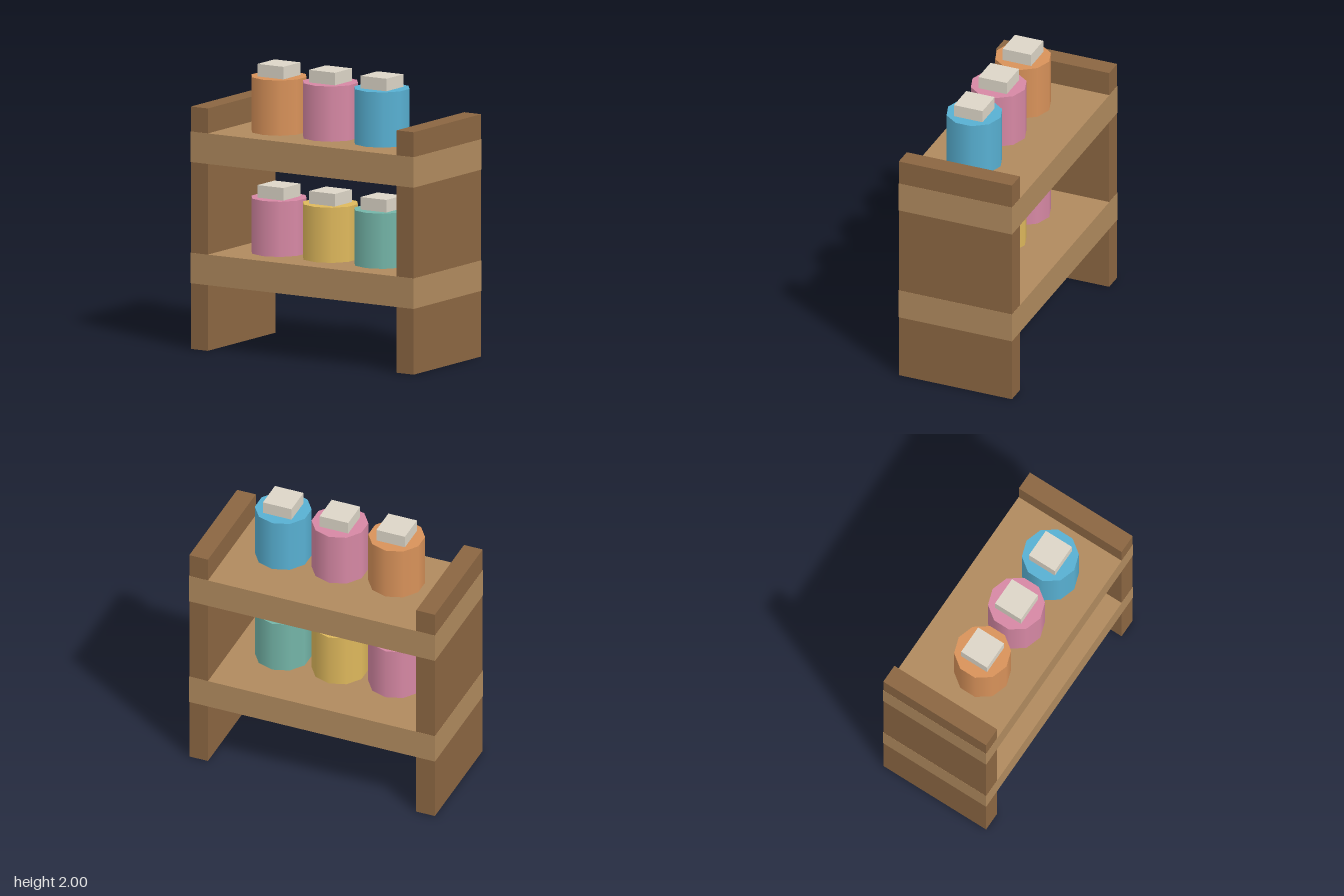
import * as THREE from 'three';

const COLORS = {
  panel: 0x8b6642, shelf: 0xb08a5e, lid: 0xdcd5c7, orange: 0xd8925a,
  pink: 0xd688a4, blue: 0x58b0d2, yellow: 0xdeb85c, teal: 0x74b5a8,
};
const materials = {};
for (const [key, color] of Object.entries(COLORS)) {
  materials[key] = new THREE.MeshStandardMaterial({ color });
}

function addMesh(parent, name, geometry, material, x, y, z) {
  const mesh = new THREE.Mesh(geometry, material);
  mesh.name = name;
  mesh.position.set(x, y, z);
  parent.add(mesh);
  return mesh;
}

export function createModel() {
  const model = new THREE.Group();
  model.name = 'shelfWithJars';

  // Upright side panels
  const panelGeo = new THREE.BoxGeometry(0.14, 1.7, 0.85);
  addMesh(model, 'leftPanel', panelGeo, materials.panel, 0.85, 0.85, 0);
  addMesh(model, 'rightPanel', panelGeo, materials.panel, -0.85, 0.85, 0);

  // Full-width shelves, a hair proud of the panels so their ends show cleanly
  const shelfH = 0.214;
  const shelfGeo = new THREE.BoxGeometry(1.842, shelfH, 0.852);

  // Ten-sided jars with square lids
  const jarH = 0.387, lidH = 0.088;
  const jarGeo = new THREE.CylinderGeometry(0.197, 0.197, jarH, 10);
  const lidGeo = new THREE.BoxGeometry(0.214, lidH, 0.214);

  const levels = [
    { name: 'lower', top: 0.675, jars: ['pink', 'yellow', 'teal'] },
    { name: 'upper', top: 1.525, jars: ['orange', 'pink', 'blue'] },
  ];
  for (const { name, top, jars } of levels) {
    addMesh(model, name + 'Shelf', shelfGeo, materials.shelf, 0, top - shelfH / 2, 0);
    jars.forEach((color, i) => {
      const jar = new THREE.Group();
      jar.name = `${name}Jar${i + 1}`;
      jar.position.set((i - 1) * 0.425, top, 0.07);
      addMesh(jar, 'jarBody', jarGeo, materials[color], 0, jarH / 2, 0);
      addMesh(jar, 'jarLid', lidGeo, materials.lid, 0, jarH + lidH / 2, 0);
      model.add(jar);
    });
  }
  return model;
}
